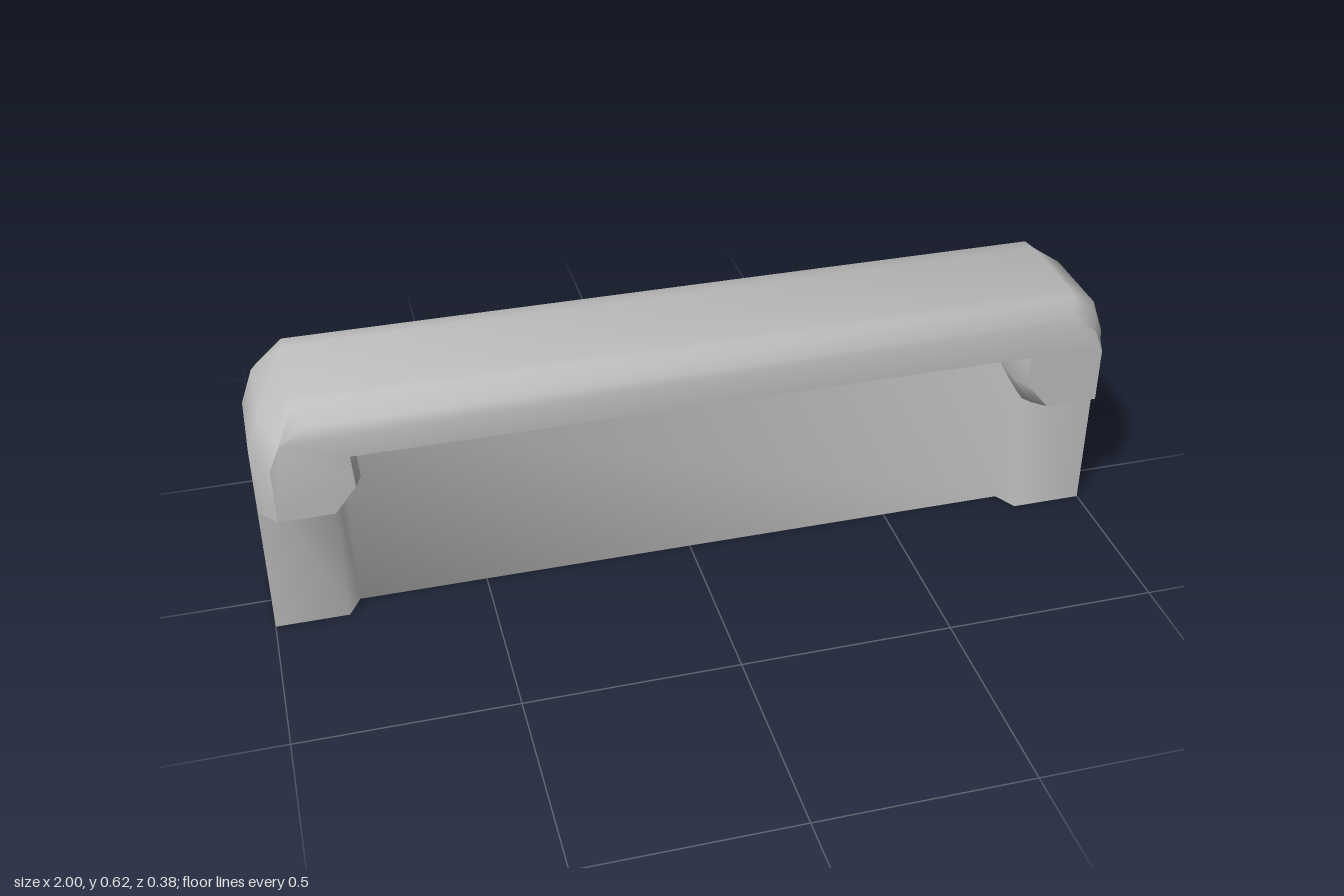
import * as THREE from 'three';
import { toCreasedNormals } from 'three/addons/utils/BufferGeometryUtils.js';

// Mirrors a right-hand half outline across x = 0 into a closed loop
const mirrorX = (half) => [...half, ...half.slice().reverse().map(([x, y]) => [-x, y])];

// Right halves of the rail outline (x, y): inner corner, knuckle, outer end, top
const FACE = mirrorX([[0.79, 0.5], [0.785, 0.42], [0.835, 0.357], [0.96, 0.357], [0.96, 0.49], [0.935, 0.55], [0.88, 0.588]]);
const CHAMFER = mirrorX([[0.79, 0.477], [0.77, 0.41], [0.82, 0.339], [0.98, 0.339], [0.98, 0.49], [0.955, 0.565], [0.895, 0.618]]);
const CORE = mirrorX([[0.79, 0.475], [0.77, 0.41], [0.815, 0.326], [1, 0.326], [1, 0.49], [0.97, 0.572], [0.9, 0.62]]);

// Lofts outlines stacked along z and closes both ends
function loft(layers) {
  const n = layers[0].loop.length;
  const positions = [];
  const index = [];
  for (const { z, loop } of layers) for (const [x, y] of loop) positions.push(x, y, z);
  for (let k = 0; k < layers.length - 1; k++) {
    for (let i = 0; i < n; i++) {
      const a = k * n + i, b = k * n + (i + 1) % n;
      index.push(a, b, b + n, a, b + n, a + n);
    }
  }
  const last = (layers.length - 1) * n;
  const cap = (loop) => THREE.ShapeUtils.triangulateShape(loop.map(([x, y]) => new THREE.Vector2(x, y)), []);
  for (const [a, b, c] of cap(layers[0].loop)) index.push(c, b, a);
  for (const [a, b, c] of cap(layers[layers.length - 1].loop)) index.push(last + a, last + b, last + c);
  const geometry = new THREE.BufferGeometry();
  geometry.setAttribute('position', new THREE.Float32BufferAttribute(positions, 3));
  geometry.setIndex(index);
  return toCreasedNormals(geometry, 1.1);
}

export function createModel() {
  const group = new THREE.Group();
  const grey = new THREE.MeshStandardMaterial({ color: 0xbebebe });
  grey.name = 'stone grey';

  // Thick chamfered rail with knuckles turned down over the posts
  const rail = new THREE.Mesh(loft([
    { z: -0.19, loop: FACE }, { z: -0.14, loop: CHAMFER }, { z: -0.1, loop: CORE },
    { z: 0.1, loop: CORE }, { z: 0.14, loop: CHAMFER }, { z: 0.19, loop: FACE },
  ]), grey);
  rail.name = 'topRail';
  group.add(rail);

  // End posts and the thin wall between them, from one footprint
  const side = mirrorX([[1, 0.1], [0.83, 0.1], [0.8, 0.048]]);
  const footprint = [...side, ...side.slice().reverse().map(([x, z]) => [x, -z])];
  const shape = new THREE.Shape(footprint.map(([x, z]) => new THREE.Vector2(x, z)));
  const wallGeometry = new THREE.ExtrudeGeometry(shape, { depth: 0.485, bevelEnabled: false });
  wallGeometry.rotateX(-Math.PI / 2);
  const wall = new THREE.Mesh(toCreasedNormals(wallGeometry, 1.1), grey);
  wall.name = 'postsAndWall';
  group.add(wall);

  return group;
}
